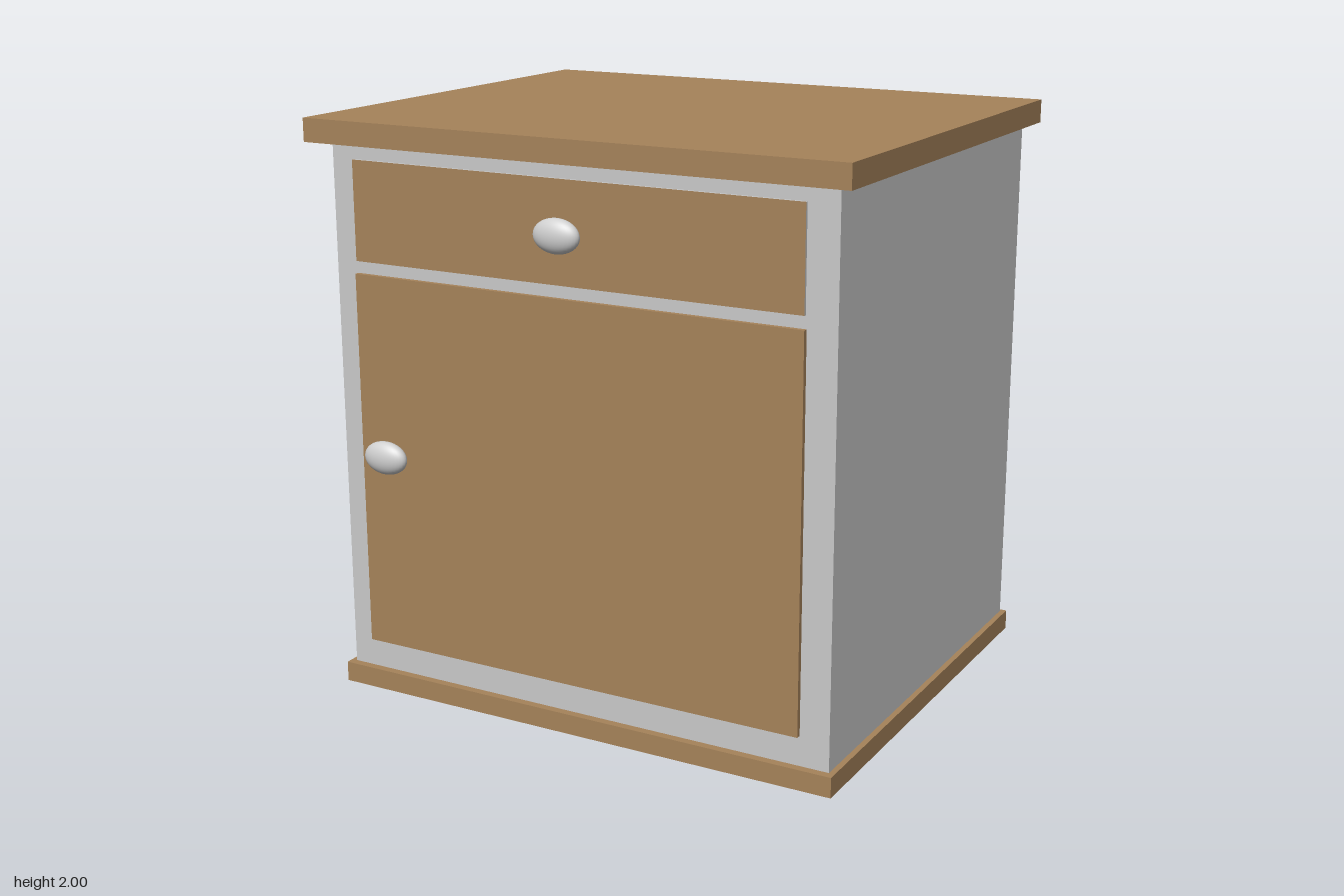
import * as THREE from 'three';

export function createModel() {
  const group = new THREE.Group();
  group.name = 'bedsideCabinet';
  const mat = (name, color) => {
    const m = new THREE.MeshStandardMaterial({ color });
    m.name = name;
    return m;
  };
  const wood = mat('wood', 0xa6835a);
  const paint = mat('greyPaint', 0xcacaca);
  const metal = mat('knobMetal', 0xd0d0d0);

  // Box given by its extents on each axis
  const box = (name, [x0, x1], [y0, y1], [z0, z1], material) => {
    const mesh = new THREE.Mesh(new THREE.BoxGeometry(x1 - x0, y1 - y0, z1 - z0), material);
    mesh.position.set((x0 + x1) / 2, (y0 + y1) / 2, (z0 + z1) / 2);
    mesh.name = name;
    group.add(mesh);
  };

  // Carcass with overhanging boards
  box('base', [-0.94, 0.94], [0, 0.07], [-0.838, 0.748], wood);
  box('body', [-0.92, 0.92], [0.07, 1.92], [-0.823, 0.72], paint);
  box('top', [-0.983, 0.983], [1.92, 2], [-0.83, 0.79], wood);

  // Drawer front has grey edges and a wooden face; door is wood all round
  box('drawerFront', [-0.836, 0.813], [1.525, 1.865], [0.715, 0.729],
    [paint, paint, paint, paint, wood, paint]);
  box('door', [-0.836, 0.817], [0.173, 1.483], [0.715, 0.737], wood);

  // Flattened oval knobs on short stems
  const knob = (name, x, y) => {
    const g = new THREE.Group();
    g.name = name;
    const head = new THREE.Mesh(new THREE.SphereGeometry(1, 32, 20), metal);
    head.name = 'knobHead';
    head.scale.set(0.083, 0.057, 0.037);
    head.position.z = 0.803;
    const stem = new THREE.Mesh(new THREE.CylinderGeometry(0.021, 0.021, 0.07, 20), metal);
    stem.name = 'knobStem';
    stem.rotation.x = Math.PI / 2;
    stem.position.z = 0.755;
    g.add(head, stem);
    g.position.set(x, y, 0);
    group.add(g);
  };
  knob('drawerKnob', 0, 1.7);
  knob('doorKnob', -0.69, 0.88);

  return group;
}
